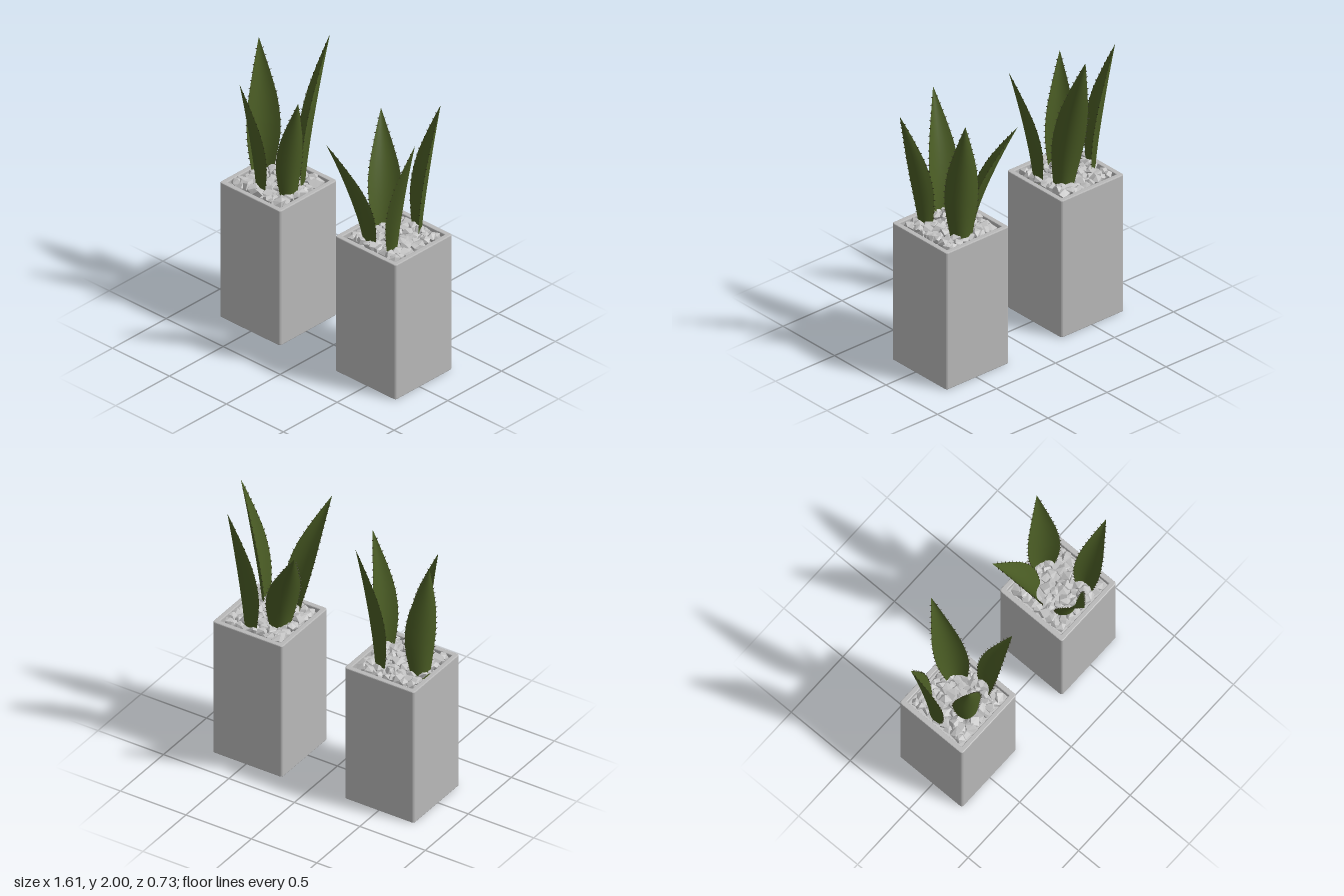
import * as THREE from 'three';
import { mergeGeometries } from 'three/addons/utils/BufferGeometryUtils.js';
import { ConvexGeometry } from 'three/addons/geometries/ConvexGeometry.js';

const material = (name, color, extra = {}) => {
  const m = new THREE.MeshStandardMaterial({ color, ...extra });
  m.name = name;
  return m;
};

// Seeded random numbers for the gravel
let seed = 7;
const random = () => {
  seed = (seed * 16807) % 2147483647;
  return seed / 2147483647;
};

function add(parent, name, geometry, mat) {
  const mesh = new THREE.Mesh(geometry, mat);
  mesh.name = name;
  parent.add(mesh);
  return mesh;
}

// Square outline with rounded corners
function roundedSquare(Type, h, r) {
  const p = new Type();
  p.moveTo(-h + r, -h);
  p.lineTo(h - r, -h);
  p.absarc(h - r, -h + r, r, -Math.PI / 2, 0);
  p.absarc(h - r, h - r, r, 0, Math.PI / 2);
  p.absarc(-h + r, h - r, r, Math.PI / 2, Math.PI);
  p.absarc(-h + r, -h + r, r, Math.PI, Math.PI * 1.5);
  return p;
}

// Hollow square planter wall, standing on y = 0
function planterGeometry() {
  const bevel = 0.006;
  const shape = roundedSquare(THREE.Shape, 0.26, 0.012);
  shape.holes.push(roundedSquare(THREE.Path, 0.236, 0.01));
  const g = new THREE.ExtrudeGeometry(shape, {
    depth: 1.005 - 2 * bevel, bevelThickness: bevel, bevelSize: bevel, bevelSegments: 2, curveSegments: 3,
  });
  g.rotateX(-Math.PI / 2);
  return g.translate(0, bevel, 0);
}

// Angular pebbles: convex hulls of jittered points, set on a loose grid
function gravelGeometry() {
  const stones = [];
  const n = 9;
  for (let i = 0; i < n; i++) {
    for (let j = 0; j < n; j++) {
      const r = 0.034 + 0.018 * random();
      const points = [];
      for (let k = 0; k < 11; k++) {
        const y = 1 - (2 * (k + 0.5)) / 11;
        const a = k * 2.4 + random() * 0.9;
        const c = Math.sqrt(1 - y * y);
        points.push(new THREE.Vector3(c * Math.cos(a), y, c * Math.sin(a)).multiplyScalar(r));
      }
      const g = new ConvexGeometry(points);
      g.rotateX(random() * 6).rotateY(random() * 6).scale(1, 0.8, 1);
      const place = (q) => ((q + 0.5) / n - 0.5) * 0.43 + (random() - 0.5) * 0.02;
      const limit = 0.228 - r;
      g.translate(
        THREE.MathUtils.clamp(place(i), -limit, limit),
        0.972 + random() * 0.036,
        THREE.MathUtils.clamp(place(j), -limit, limit));
      stones.push(g);
    }
  }
  return mergeGeometries(stones);
}

// Half-width along a leaf, as a share of the widest point
const widths = [0.6, 0.74, 0.88, 0.98, 1, 0.95, 0.84, 0.66, 0.46, 0.24, 0.015];
function widthAt(t) {
  const f = Math.min(t, 0.9999) * (widths.length - 1);
  const i = Math.floor(f);
  return THREE.MathUtils.lerp(widths[i], widths[i + 1], f - i);
}

// Channelled leaf: base [x, z], tip [x, y, z], out = direction the back faces
function makeLeaf({ base, tip, out, width }, skin, spine) {
  const y0 = 0.97, rows = 20, cols = 8;
  const n = new THREE.Vector3(out[0], 0, out[1]).normalize();
  const s = new THREE.Vector3(n.z, 0, -n.x);
  const point = (t, u, inner) => {
    const w = widthAt(t) * width / 2;
    const lean = Math.pow(t, 1.35);
    const thickness = inner ? 0.16 * w * (1 - u * u) : 0;
    return new THREE.Vector3(
      THREE.MathUtils.lerp(base[0], tip[0], lean),
      THREE.MathUtils.lerp(y0, tip[1], t),
      THREE.MathUtils.lerp(base[1], tip[2], lean))
      .addScaledVector(s, u * w)
      .addScaledVector(n, -u * u * w * 0.6 - thickness);
  };

  const positions = [], index = [];
  for (const inner of [false, true]) {
    const start = positions.length / 3;
    for (let r = 0; r <= rows; r++) {
      for (let c = 0; c <= cols; c++) positions.push(...point(r / rows, (2 * c) / cols - 1, inner));
    }
    for (let r = 0; r < rows; r++) {
      for (let c = 0; c < cols; c++) {
        const a = start + r * (cols + 1) + c, b = a + 1, d = a + cols + 1, e = d + 1;
        if (inner) index.push(a, e, b, a, d, e);
        else index.push(a, b, e, a, e, d);
      }
    }
  }
  const blade = new THREE.BufferGeometry();
  blade.setAttribute('position', new THREE.Float32BufferAttribute(positions, 3));
  blade.setIndex(index);
  blade.computeVertexNormals();

  // Small thorns along both margins
  const thorns = [];
  const up = new THREE.Vector3(0, 1, 0);
  for (const side of [-1, 1]) {
    const dir = s.clone().multiplyScalar(side).addScaledVector(up, 0.3).normalize();
    const turn = new THREE.Quaternion().setFromUnitVectors(up, dir);
    for (let k = 0; k < 17; k++) {
      const p = point(0.1 + k * 0.052, side, false);
      const g = new THREE.ConeGeometry(0.005, 0.016, 4).translate(0, 0.004, 0);
      thorns.push(g.applyQuaternion(turn).translate(p.x, p.y, p.z));
    }
  }

  const leaf = new THREE.Group();
  leaf.name = 'leaf';
  add(leaf, 'leafBlade', blade, skin);
  add(leaf, 'leafThorns', mergeGeometries(thorns), spine);
  return leaf;
}

export function createModel() {
  const planterGrey = material('planter grey', 0xb8b8b8);
  const gravelGrey = material('gravel grey', 0xc2c2c2, { flatShading: true });
  const leafGreen = material('leaf green', 0x4a5c24, { side: THREE.DoubleSide });
  const thornBrown = material('thorn brown', 0x2e3016);

  const plants = [
    {
      name: 'rightPlanter', x: -0.505, z: -0.018,
      leaves: [
        { base: [-0.71, -0.07], tip: [-0.805, 1.89, -0.155], out: [-0.89, -0.46], width: 0.23 },
        { base: [-0.555, 0.13], tip: [-0.642, 1.757, 0.195], out: [-0.45, 0.89], width: 0.19 },
        { base: [-0.385, -0.14], tip: [-0.375, 2, -0.36], out: [0.62, -0.78], width: 0.21 },
        { base: [-0.31, 0.065], tip: [-0.172, 1.79, 0.15], out: [0.945, 0.32], width: 0.19 },
      ],
    },
    {
      name: 'leftPlanter', x: 0.488, z: -0.04,
      leaves: [
        { base: [0.35, -0.11], tip: [0.14, 1.695, -0.29], out: [-0.74, -0.67], width: 0.22 },
        { base: [0.405, 0.14], tip: [0.282, 1.765, 0.365], out: [-0.24, 0.97], width: 0.21 },
        { base: [0.55, -0.23], tip: [0.62, 1.895, -0.335], out: [0.48, -0.88], width: 0.22 },
        { base: [0.622, 0.08], tip: [0.8, 1.855, 0.095], out: [0.97, -0.22], width: 0.18 },
      ],
    },
  ];

  const model = new THREE.Group();
  model.name = 'pottedPlants';
  for (const { name, x, z, leaves } of plants) {
    const planter = new THREE.Group();
    planter.name = name;
    add(planter, 'planterWall', planterGeometry(), planterGrey).position.set(x, 0, z);
    add(planter, 'planterFloor', new THREE.BoxGeometry(0.48, 0.05, 0.48), planterGrey).position.set(x, 0.025, z);
    add(planter, 'gravelBed', new THREE.BoxGeometry(0.476, 0.02, 0.476), gravelGrey).position.set(x, 0.955, z);
    add(planter, 'gravel', gravelGeometry(), gravelGrey).position.set(x, 0, z);
    for (const leaf of leaves) planter.add(makeLeaf(leaf, leafGreen, thornBrown));
    model.add(planter);
  }
  return model;
}
